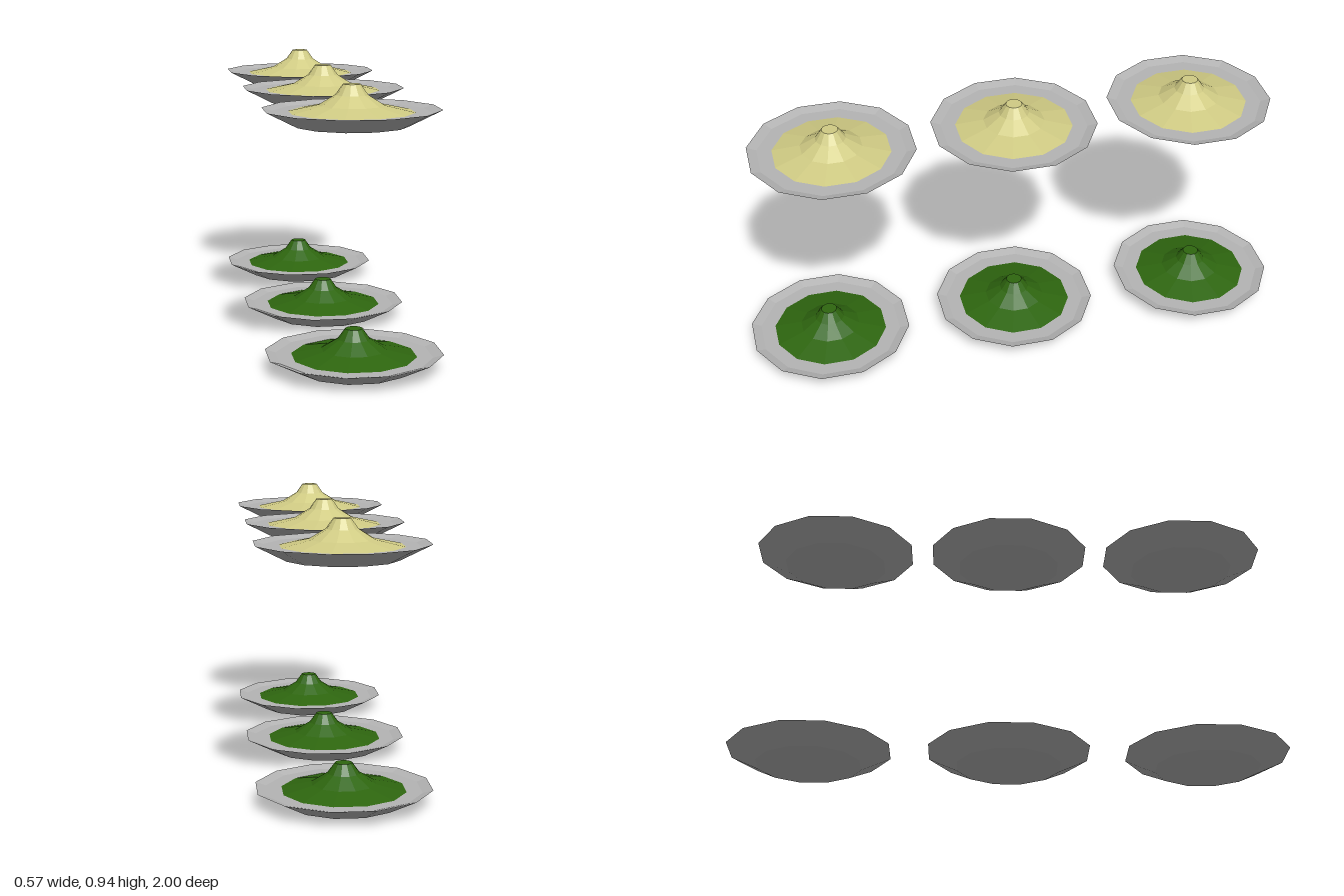
import * as THREE from 'three';

const SIDES = 12;

// Faceted lathe with flat sides facing the axes; profile runs bottom to top.
function facetedLathe(profile) {
  const points = profile.map(([r, y]) => new THREE.Vector2(r, y));
  const geometry = new THREE.LatheGeometry(points, SIDES, Math.PI / SIDES).toNonIndexed();
  geometry.computeVertexNormals();
  return geometry;
}

function material(name, color) {
  const m = new THREE.MeshStandardMaterial({ color });
  m.name = name;
  return m;
}

function part(name, geometry, mat) {
  const mesh = new THREE.Mesh(geometry, mat);
  mesh.name = name;
  return mesh;
}

export function createModel() {
  const grey = material('plate grey', 0xb4b4b4);
  const yellow = material('pale yellow', 0xd0cb84);
  const green = material('dark green', 0x2e660f);

  // Shallow plate: base, flared wall, sloping inner rim, floor
  const plate = facetedLathe([[0, 0], [0.19, 0], [0.297, 0.054], [0.262, 0.044], [0, 0.044]]);
  // Heaped mound with a small flat top
  const mound = facetedLathe([[0.209, 0.044], [0.109, 0.066], [0.054, 0.1], [0.029, 0.135], [0, 0.135]]);

  const model = new THREE.Group();
  model.name = 'platesOfFood';

  const rows = [
    { name: 'lower', y: 0, spacing: 0.713, food: green },
    { name: 'upper', y: 0.8, spacing: 0.653, food: yellow },
  ];
  for (const row of rows) {
    for (const [place, step] of [['Back', -1], ['Middle', 0], ['Front', 1]]) {
      const dish = new THREE.Group();
      dish.name = `${row.name}${place}Dish`;
      dish.add(part('plate', plate, grey), part('mound', mound, row.food));
      dish.position.set(0, row.y, step * row.spacing);
      model.add(dish);
    }
  }
  return model;
}
